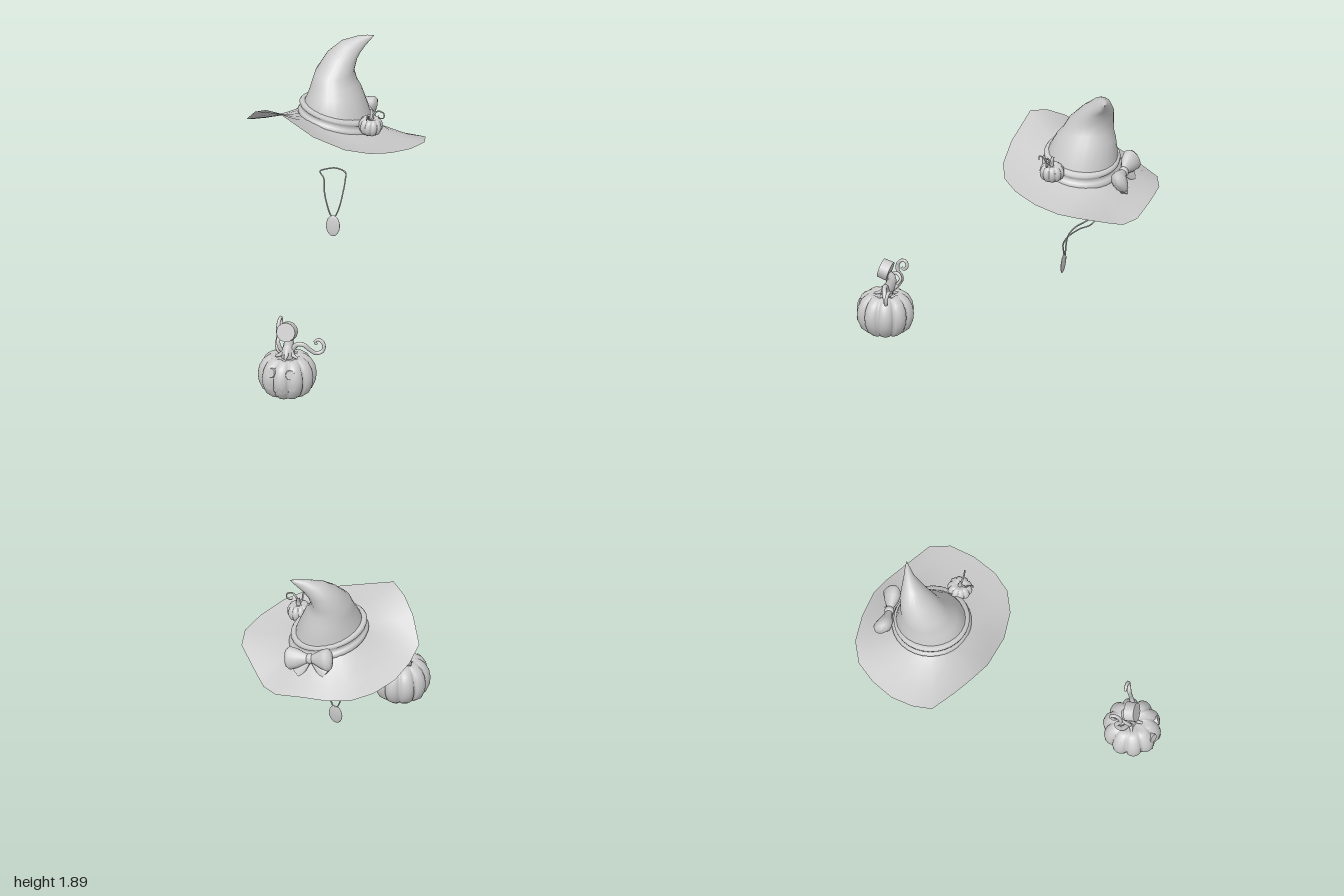
import * as THREE from 'three';

const material = new THREE.MeshStandardMaterial({ color: 0xcccccc });
const thinMaterial = new THREE.MeshStandardMaterial({ color: 0xcccccc, side: THREE.DoubleSide });
const V = (x, y, z) => new THREE.Vector3(x, y, z);
const path = (pts, closed = false) => new THREE.CatmullRomCurve3(pts.map(p => V(...p)), closed);

function add(parent, name, geometry, mat = material) {
  const mesh = new THREE.Mesh(geometry, mat);
  mesh.name = name;
  parent.add(mesh);
  return mesh;
}

// Skin a list of closed rings, ordered upward
function loft(rings) {
  const n = rings[0].length, index = [];
  for (let i = 0; i < rings.length - 1; i++) {
    for (let j = 0; j < n; j++) {
      const k = (j + 1) % n, a = i * n, b = a + n;
      index.push(a + j, b + j, a + k, a + k, b + j, b + k);
    }
  }
  const g = new THREE.BufferGeometry().setFromPoints(rings.flat());
  g.setIndex(index);
  g.computeVertexNormals();
  return g;
}

// Elliptical ring, tilted by slopes along x and z
function ring(cx, cy, cz, rx, rz, sx = 0, sz = 0, n = 24) {
  return Array.from({ length: n }, (_, i) => {
    const a = i / n * Math.PI * 2, x = rx * Math.cos(a), z = rz * Math.sin(a);
    return V(cx + x, cy + sx * x + sz * z, cz + z);
  });
}

// Tube whose thickness shrinks along its length
function taperedTube(pts, r0, r1, segments = 40) {
  const curve = path(pts), sides = 8;
  const g = new THREE.TubeGeometry(curve, segments, r0, sides);
  const pos = g.attributes.position, p = V(0, 0, 0);
  for (let i = 0; i < pos.count; i++) {
    const t = Math.floor(i / (sides + 1)) / segments, c = curve.getPointAt(t);
    p.fromBufferAttribute(pos, i).sub(c).multiplyScalar(THREE.MathUtils.lerp(1, r1 / r0, t)).add(c);
    pos.setXYZ(i, p.x, p.y, p.z);
  }
  return g;
}

// Pumpkin profile as [radius, height] pairs, and its ribbed surface
const profile = [[0.002, 0.035], [0.07, 0.03], [0.09, 0.004], [0.125, 0.012], [0.165, 0.045], [0.188, 0.1],
  [0.193, 0.15], [0.184, 0.2], [0.16, 0.245], [0.125, 0.272], [0.09, 0.275], [0.06, 0.258], [0.002, 0.255]];
const rib = a => 1 - 0.15 * (1 - Math.pow(Math.abs(Math.sin(5 * a)), 0.6));

function pumpkinBody() {
  return loft(profile.map(([r, y]) => Array.from({ length: 100 }, (_, i) => {
    const a = i / 100 * Math.PI * 2;
    return V(r * rib(a) * Math.cos(a), y, r * rib(a) * Math.sin(a));
  })));
}

// Point on the pumpkin front at a given x and height, pushed outward
function onPumpkin(x, y, out) {
  let i = 3;
  while (profile[i + 1][1] < y) i++;
  const [r0, y0] = profile[i], [r1, y1] = profile[i + 1];
  const r = r0 + (r1 - r0) * (y - y0) / (y1 - y0);
  const a = Math.PI / 2 - Math.asin(x / r), R = r * rib(a) + out;
  return V(R * Math.cos(a), y, R * Math.sin(a));
}

function createHat() {
  const hat = new THREE.Group();
  hat.name = 'witchHat';
  const sx = -0.2, sz = 0.12, cx = -0.005, cz = -0.53;

  // Wavy brim, from outer edge to crown
  const edge = [[-.19, 1.19, -1], [0, 1.17, -1], [.19, 1.12, -.97], [.3, 1.115, -.91], [.38, 1.15, -.84],
    [.55, 1.235, -.685], [.58, 1.26, -.55], [.535, 1.285, -.38], [.445, 1.32, -.215], [.335, 1.35, -.105],
    [.18, 1.385, -.045], [-.03, 1.455, -.035], [-.28, 1.575, -.085], [-.39, 1.545, -.165], [-.49, 1.475, -.26],
    [-.585, 1.35, -.385], [-.575, 1.29, -.52], [-.53, 1.235, -.67], [-.44, 1.2, -.82], [-.335, 1.195, -.94]]
    .map(p => V(...p));
  const inner = edge.map(p => {
    const a = Math.atan2(p.z - cz, p.x - cx), x = 0.235 * Math.cos(a), z = 0.24 * Math.sin(a);
    return V(cx + x, 1.375 + sx * x + sz * z, cz + z);
  });
  const brim = [0, 0.35, 0.7, 1].map(t => edge.map((p, i) => {
    const q = p.clone().lerp(inner[i], t);
    q.y -= 0.05 * t * (1 - t);
    return q;
  }));
  add(hat, 'brim', loft(brim), thinMaterial);

  // Leaning crown with a bent tip
  add(hat, 'crown', loft([
    [cx, 1.37, cz, .236, .24, sx, sz], [-.01, 1.475, -.535, .208, .227, -.14, .05],
    [-.025, 1.57, -.55, .17, .197], [-.035, 1.62, -.563, .148, .168], [-.04, 1.685, -.582, .126, .15],
    [-.005, 1.775, -.635, .1, .108, -.15, .05], [.045, 1.83, -.672, .066, .07, -.5, .1],
    [.105, 1.862, -.71, .028, .034, -1.1, .1], [.15, 1.882, -.732, .012, .016, -1.3, .1],
    [.182, 1.895, -.745, .001, .001]
  ].map(s => ring(...s))), thinMaterial);

  // Band with two rolled edges
  add(hat, 'hatBand', loft([[.233, -.055], [.255, -.05], [.262, -.03], [.252, -.012], [.24, -.006],
    [.24, .015], [.248, .02], [.25, .035], [.24, .048], [.215, .05]]
    .map(([r, dy]) => ring(cx, 1.405 + dy, cz, r, r, sx, sz, 32))), thinMaterial);

  // Bow at the back
  const bow = new THREE.Group();
  bow.name = 'bow';
  bow.position.set(0.01, 1.36, -0.82);
  bow.rotation.set(0.4, 0, -0.2, 'ZXY');
  hat.add(bow);
  const loop = loft([[0, .022, .018, 0], [.04, .04, .028, 0], [.09, .065, .048, -.005], [.135, .078, .055, -.015],
    [.16, .06, .035, -.02], [.168, .001, .001, -.02]]
    .map(([y, rx, rz, z]) => ring(0, y, z, rx, rz, 0, 0, 14)));
  for (const s of [1, -1]) {
    const lobe = add(bow, s > 0 ? 'leftLoop' : 'rightLoop', loop);
    lobe.rotation.z = -s * Math.PI / 2;
    const tail = add(bow, s > 0 ? 'leftTail' : 'rightTail', new THREE.CylinderGeometry(.015, .045, .13, 8));
    tail.scale.z = 0.3;
    tail.position.set(s * 0.055, -0.06, 0.012);
    tail.rotation.z = s * 0.8;
  }
  add(bow, 'knot', new THREE.SphereGeometry(.036, 12, 8)).scale.set(.8, 1, .9);

  // Small pumpkin ornament
  const ornament = new THREE.Group();
  ornament.name = 'smallPumpkin';
  ornament.position.set(0.25, 1.35, -0.405);
  ornament.rotation.z = -0.1;
  hat.add(ornament);
  add(ornament, 'smallPumpkinBody', pumpkinBody()).scale.set(.41, .41, .43);
  add(ornament, 'smallStem', taperedTube([[0, .1, 0], [0, .13, 0], [-.01, .17, -.01]], .016, .009, 12));
  add(ornament, 'smallTendril', taperedTube([[.01, .11, 0], [.015, .15, .01], [.045, .18, .015],
    [.08, .17, .01], [.082, .135, .01], [.05, .13, .01], [.045, .15, .01]], .007, .003));
  add(ornament, 'smallSideTendril', taperedTube([[0, .11, 0], [-.01, .12, .04], [-.01, .15, .06],
    [-.01, .16, .085], [-.01, .13, .09]], .007, .003));
  return hat;
}

function createNecklace() {
  const necklace = new THREE.Group();
  necklace.name = 'necklace';
  const chain = path([[-.012, .71, -.41], [-.05, .81, -.415], [-.075, .87, -.455], [-.1, .92, -.53],
    [-.137, .945, -.57], [-.1, .955, -.595], [-.04, .962, -.61], [.03, .95, -.59], [.047, .925, -.53],
    [.052, .86, -.45], [.045, .8, -.415], [.03, .75, -.412], [.01, .71, -.41]], true);
  add(necklace, 'chain', new THREE.TubeGeometry(chain, 90, .005, 6, true));
  const pendant = add(necklace, 'pendant', new THREE.SphereGeometry(1, 20, 14));
  pendant.scale.set(.047, .072, .011);
  pendant.position.set(0, .645, -.402);
  pendant.rotation.x = -0.1;
  return necklace;
}

function createPumpkin() {
  const pumpkin = new THREE.Group();
  pumpkin.name = 'carvedPumpkin';
  pumpkin.position.set(0.035, 0, 0.81);
  add(pumpkin, 'pumpkinBody', pumpkinBody());

  // Round eyes lying on the skin
  for (const s of [1, -1]) {
    const eye = add(pumpkin, s > 0 ? 'leftEye' : 'rightEye', new THREE.CylinderGeometry(.03, .033, .03, 16));
    eye.position.copy(onPumpkin(s * 0.068, 0.207, -0.006));
    eye.quaternion.setFromUnitVectors(V(0, 1, 0), V(s * 0.38, 0.3, 0.9).normalize());
  }

  // Jagged grin following the skin
  const columns = 48, pts = [], index = [];
  for (let i = 0; i <= columns; i++) {
    const u = i / columns * 2 - 1, x = u * 0.105;
    const zig = Math.abs(((i / 8) % 1) * 2 - 1), mid = 0.085 + 0.03 * u * u, h = 1 - u * u * 0.6;
    pts.push(onPumpkin(x, mid - h * (0.02 - 0.015 * zig), 0.004), onPumpkin(x, mid + h * (0.012 + 0.028 * zig), 0.004));
    if (i < columns) index.push(2 * i, 2 * i + 2, 2 * i + 1, 2 * i + 1, 2 * i + 2, 2 * i + 3);
  }
  const grin = new THREE.BufferGeometry().setFromPoints(pts);
  grin.setIndex(index);
  grin.computeVertexNormals();
  add(pumpkin, 'grin', grin, thinMaterial);

  // Bent stem with a broad cut end
  add(pumpkin, 'stem', taperedTube([[0, .25, -.01], [0, .29, -.012], [0, .34, -.035], [0, .385, -.045],
    [0, .425, -.02]], .045, .024, 24));
  const end = add(pumpkin, 'stemEnd', new THREE.CylinderGeometry(.064, .066, .068, 12));
  end.position.set(-0.002, .443, 0);
  end.rotation.x = Math.PI / 2 - 0.3;
  for (let i = 0; i < 5; i++) {
    const a = i / 5 * Math.PI * 2 + 0.3, c = Math.cos(a), s = Math.sin(a);
    add(pumpkin, 'stemRoot', taperedTube([[c * .02, .31, s * .02 - .015], [c * .045, .277, s * .045 - .01],
      [c * .08, .268, s * .08 - .01]], .018, .008, 10));
  }

  // Curling tendrils
  add(pumpkin, 'leftTendril', taperedTube([[.02, .27, -.02], [.035, .32, -.02], [.065, .352, -.02], [.105, .35, -.025],
    [.14, .315, -.04], [.18, .285, -.06], [.22, .3, -.075], [.225, .345, -.08], [.195, .372, -.085],
    [.165, .355, -.085], [.175, .335, -.085]], .018, .01));
  add(pumpkin, 'rightTendril', taperedTube([[-.02, .27, -.02], [-.06, .285, -.03], [-.085, .31, -.06], [-.083, .36, -.085],
    [-.08, .41, -.06], [-.078, .455, -.06], [-.075, .488, -.085], [-.075, .485, -.115], [-.075, .45, -.125],
    [-.075, .425, -.1], [-.075, .44, -.085]], .018, .009));
  add(pumpkin, 'backTendril', taperedTube([[-.02, .28, -.02], [-.05, .32, .0], [-.065, .37, -.01],
    [-.06, .4, -.06], [-.045, .37, -.09], [-.03, .33, -.07]], .015, .009));
  return pumpkin;
}

export function createModel() {
  const model = new THREE.Group();
  model.name = 'halloweenSet';
  model.add(createHat(), createNecklace(), createPumpkin());
  return model;
}
